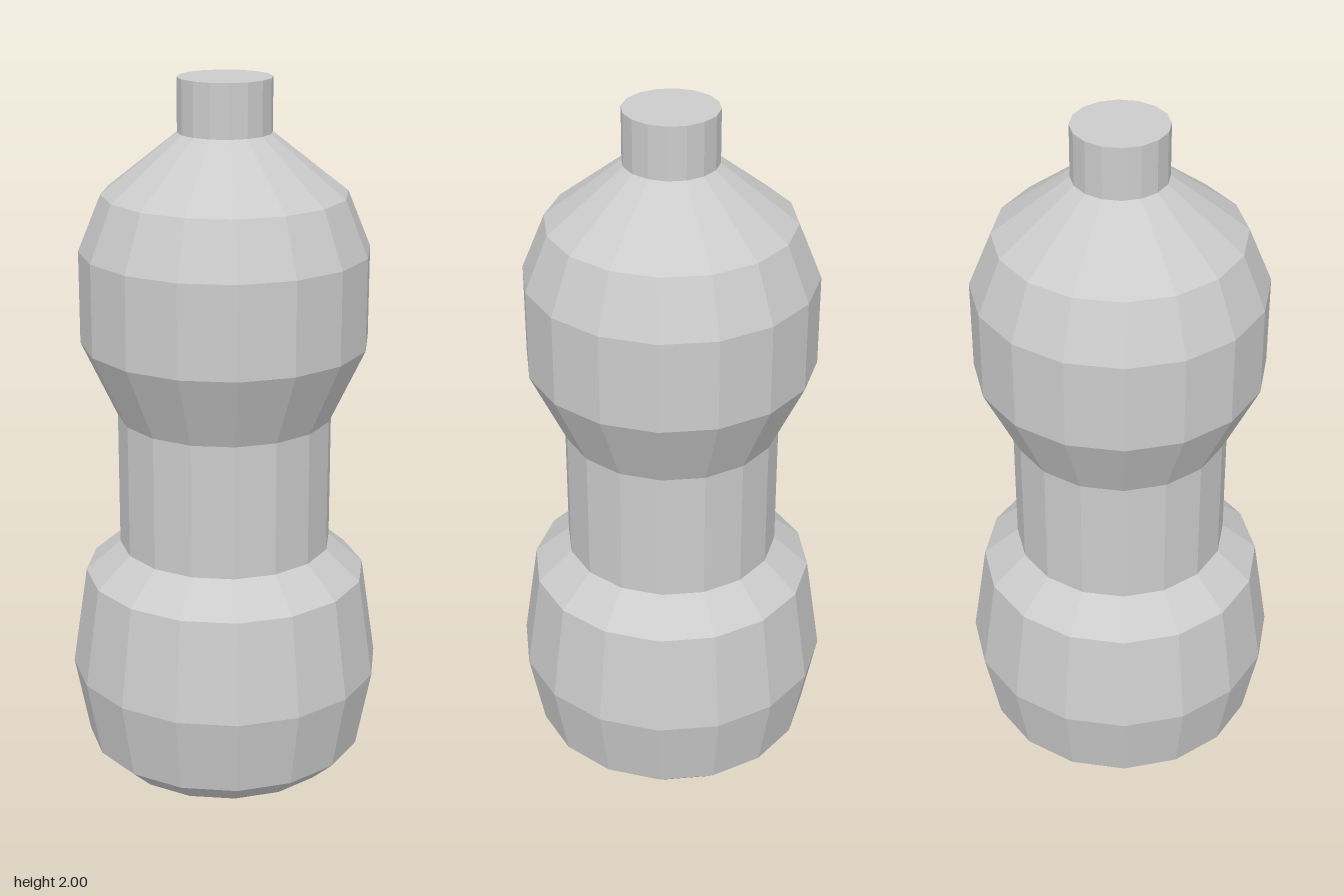
import * as THREE from 'three';

const SIDES = 16;

export function createModel() {
  const model = new THREE.Group();
  model.name = 'bottle';
  const material = new THREE.MeshStandardMaterial({ color: 0xcccccc, flatShading: true });

  // Turn a [radius, height] profile, listed bottom to top, around the y axis
  const addTurned = (name, profile) => {
    const points = profile.map(([r, y]) => new THREE.Vector2(r, y));
    const mesh = new THREE.Mesh(new THREE.LatheGeometry(points, SIDES), material);
    mesh.name = name;
    model.add(mesh);
  };

  // Bulging lower body with a closed underside and a sloped top edge
  addTurned('lowerBody', [[0, 0], [0.335, 0], [0.404, 0.065], [0.447, 0.293], [0.404, 0.583], [0.304, 0.67]]);

  // Narrow straight waist
  addTurned('gripWaist', [[0.304, 0.67], [0.304, 1.056]]);

  // Wide upper body closing in to the shoulder
  addTurned('upperBody', [[0.304, 1.056], [0.404, 1.27], [0.404, 1.53], [0.34, 1.686], [0.13, 1.852]]);

  // Capped neck
  addTurned('neckCap', [[0.13, 1.852], [0.13, 2], [0, 2]]);

  return model;
}
